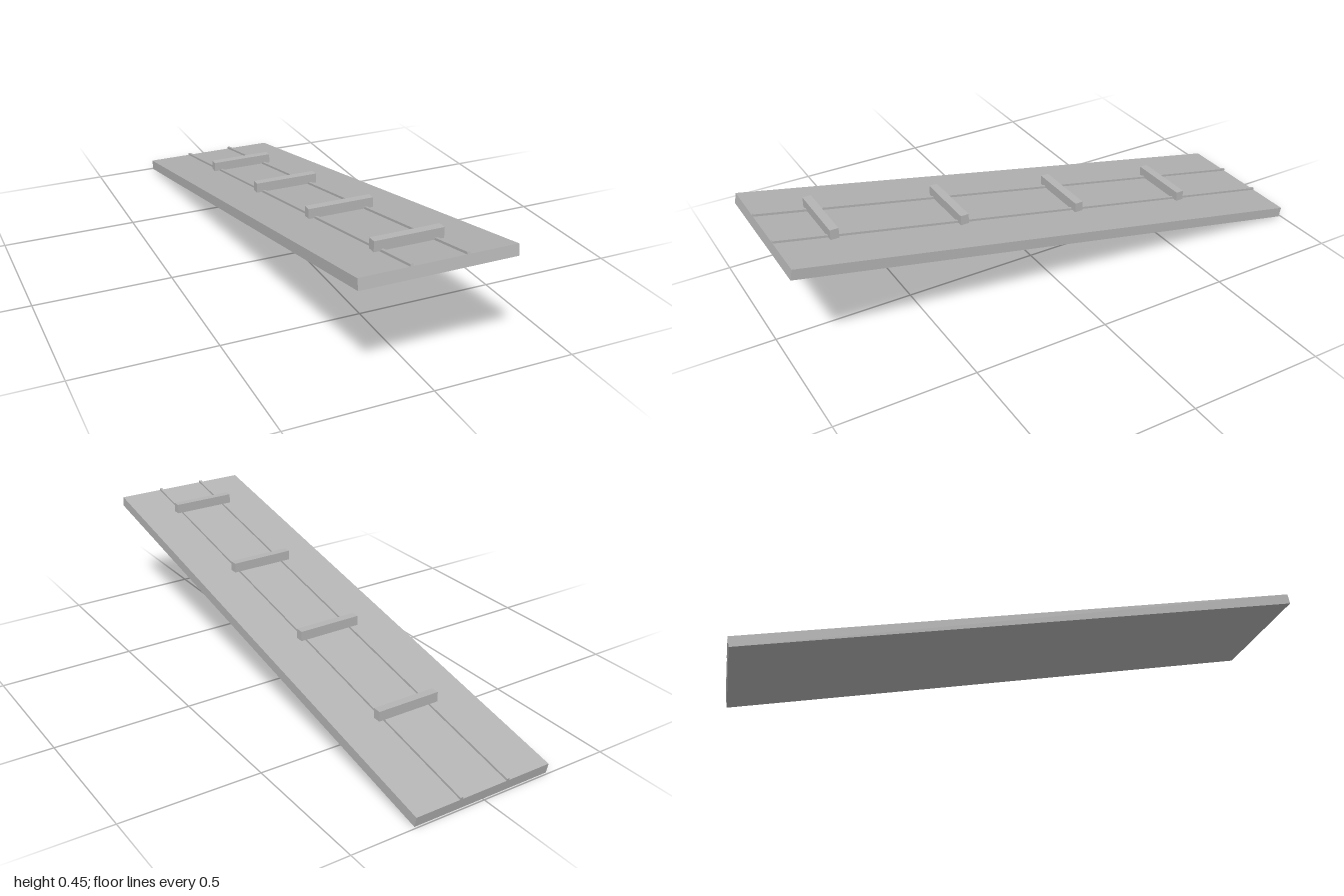
import * as THREE from 'three';

const TILT = 0.1982;        // slope of the ramp, rising toward +z
const LENGTH = 2.032, WIDTH = 0.53, THICK = 0.0378;

export function createModel() {
  const model = new THREE.Group();
  model.name = 'ramp';
  const grey = new THREE.MeshStandardMaterial({ color: 0xb4b4b4 });
  grey.name = 'plain grey';

  const box = (parent, name, size, pos) => {
    const mesh = new THREE.Mesh(new THREE.BoxGeometry(...size), grey);
    mesh.name = name;
    mesh.position.set(...pos);
    parent.add(mesh);
    return mesh;
  };

  // Sloping deck with its two thin rails
  const deck = new THREE.Group();
  deck.name = 'deck';
  deck.position.y = 0.2187;
  deck.rotation.x = -TILT;
  model.add(deck);
  box(deck, 'board', [WIDTH, THICK, LENGTH], [0, 0, 0]);
  for (const side of [-1, 1]) {
    box(deck, side > 0 ? 'leftRail' : 'rightRail', [0.01, 0.012, LENGTH],
      [side * 0.093, THICK / 2 + 0.002, 0]);
  }

  // Level cross cleats stepping down the slope
  for (let i = 0; i < 4; i++) {
    const z = 0.797 - i * 0.465;
    box(model, 'cleat' + (i + 1), [0.24, 0.036, 0.03],
      [0, 0.421 - i * 0.465 * Math.tan(TILT), z]);
  }
  return model;
}
